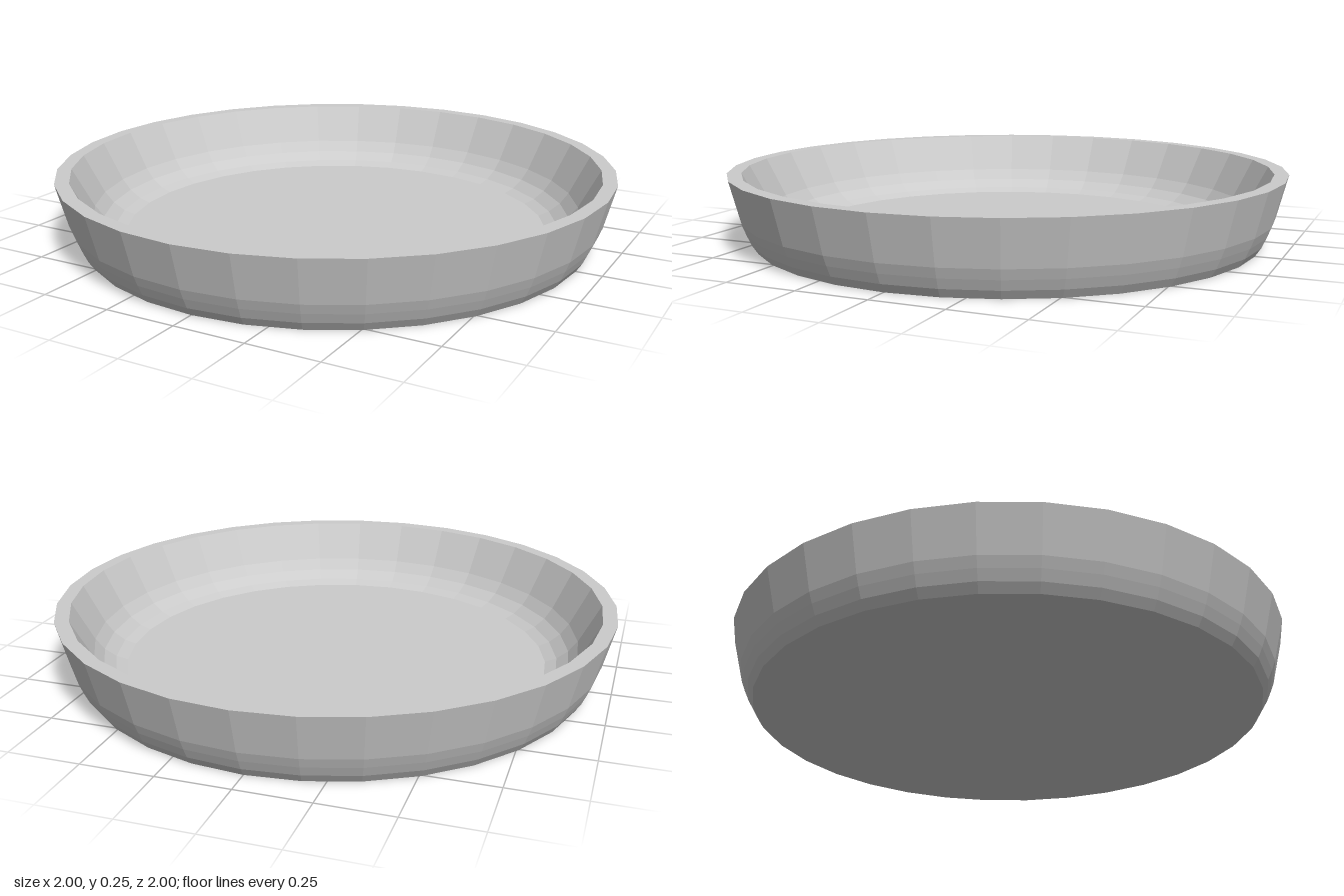
import * as THREE from 'three';

export function createModel() {
  const group = new THREE.Group();
  group.name = 'shallowDish';

  // Closed cross-section: underside, curved outer wall, flat rim, inner wall, floor
  const profile = [
    [0, 0], [0.91, 0], [0.93, 0.03], [0.946, 0.065], [0.96, 0.1], [1, 0.255],
    [0.95, 0.255], [0.876, 0.115], [0.845, 0.075], [0.805, 0.045], [0.765, 0.03], [0, 0.03],
  ].map(([r, y]) => new THREE.Vector2(r, y));

  // Faceted bowl with 32 sides
  const dish = new THREE.Mesh(
    new THREE.LatheGeometry(profile, 32),
    new THREE.MeshStandardMaterial({ color: 0xcccccc, flatShading: true })
  );
  dish.name = 'dish';
  group.add(dish);

  return group;
}
